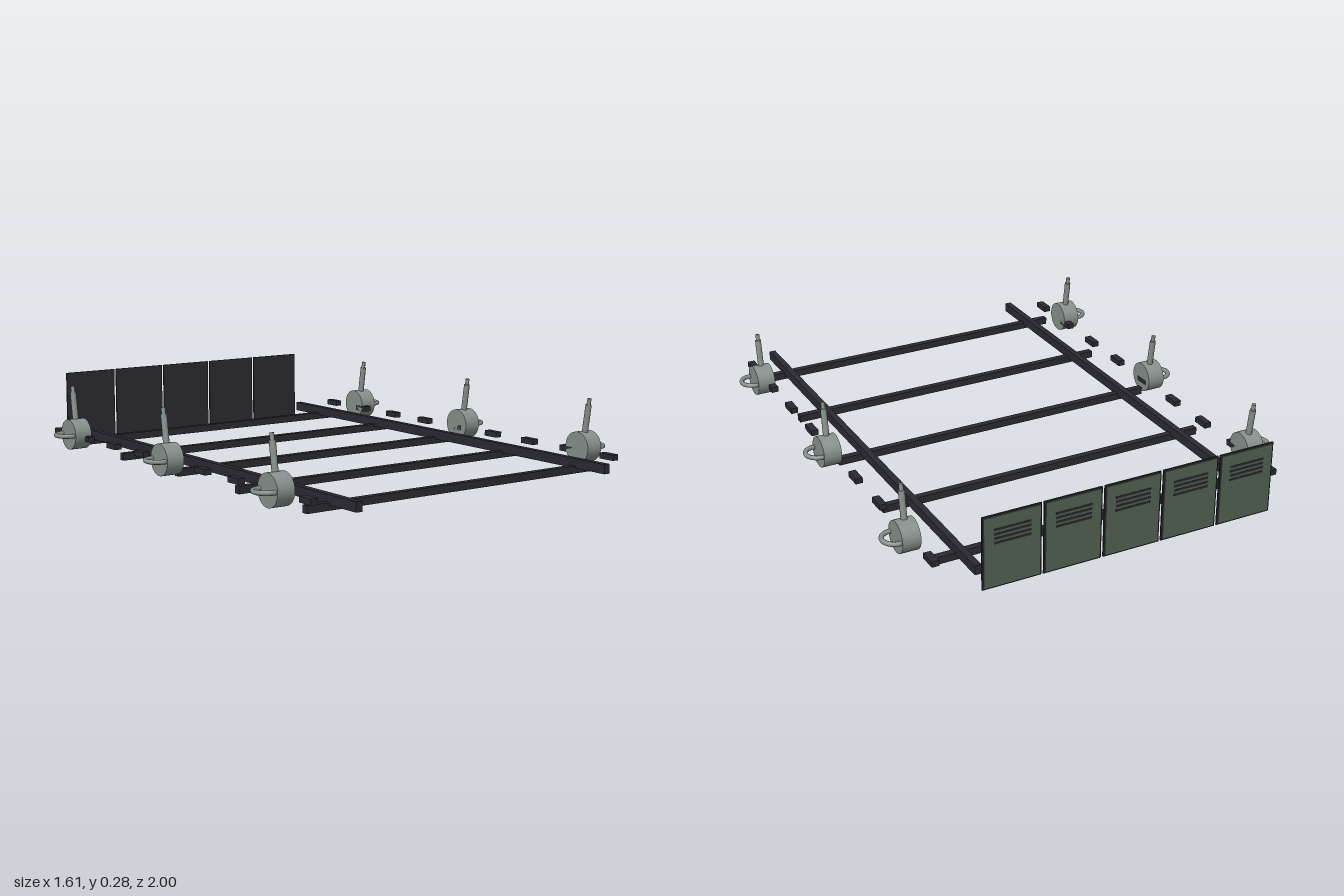
import * as THREE from 'three';

export function createModel() {
  const model = new THREE.Group();
  const darkSteel = new THREE.MeshStandardMaterial({ color: 0x2b2a31 });
  darkSteel.name = 'dark steel';
  const greySteel = new THREE.MeshStandardMaterial({ color: 0x87918c });
  greySteel.name = 'grey steel';
  const greenPaint = new THREE.MeshStandardMaterial({ color: 0x526052 });
  greenPaint.name = 'green paint';

  const add = (parent, name, geometry, material, x = 0, y = 0, z = 0) => {
    const mesh = new THREE.Mesh(geometry, material);
    mesh.name = name;
    mesh.position.set(x, y, z);
    parent.add(mesh);
    return mesh;
  };

  // Long rails resting on the cross bars
  for (const side of [-1, 1]) {
    add(model, 'sideRail', new THREE.BoxGeometry(0.025, 0.036, 1.94), darkSteel, side * 0.567, 0.048, 0.03);
  }
  const barGeometry = new THREE.BoxGeometry(1.34, 0.028, 0.026);
  for (let i = 0; i < 5; i++) {
    add(model, 'crossBar', barGeometry, darkSteel, 0, 0.025, -0.781 + i * 0.405);
  }

  // Small blocks along both sides
  const blockGeometry = new THREE.BoxGeometry(0.028, 0.022, 0.068);
  for (const side of [-1, 1]) {
    for (let i = 0; i < 9; i++) {
      add(model, 'sideBlock', blockGeometry, darkSteel, side * 0.69, 0.066, -0.833 + i * 0.2152);
    }
  }

  // Winch: drum on its side, horizontal bow and a tilted lever
  const drumGeometry = new THREE.CylinderGeometry(0.06, 0.06, 0.07, 32).rotateZ(Math.PI / 2);
  const bowPoints = [new THREE.Vector3(0.735, 0, -0.046)];
  for (let i = 0; i <= 12; i++) {
    const a = -Math.PI / 2 + (i / 12) * Math.PI;
    bowPoints.push(new THREE.Vector3(0.75 + 0.046 * Math.cos(a), 0, 0.046 * Math.sin(a)));
  }
  bowPoints.push(new THREE.Vector3(0.735, 0, 0.046));
  const bowGeometry = new THREE.TubeGeometry(new THREE.CatmullRomCurve3(bowPoints), 32, 0.009, 8);
  const gripGeometry = new THREE.CylinderGeometry(0.012, 0.012, 0.13, 12);
  const tipGeometry = new THREE.CylinderGeometry(0.008, 0.008, 0.028, 12);

  function makeWinch() {
    const winch = new THREE.Group();
    winch.name = 'winch';
    add(winch, 'drum', drumGeometry, greySteel, 0.711);
    add(winch, 'bow', bowGeometry, greySteel);
    const lever = new THREE.Group();
    lever.name = 'lever';
    lever.position.x = 0.709;
    lever.rotation.x = 0.15;
    add(lever, 'grip', gripGeometry, greySteel, 0, 0.1, 0);
    add(lever, 'tip', tipGeometry, greySteel, 0, 0.176, 0);
    winch.add(lever);
    return winch;
  }
  for (const z of [-0.667, 0.033, 0.733]) {
    for (const turn of [0, Math.PI]) {
      const winch = makeWinch();
      winch.position.set(0, 0.08, z);
      winch.rotation.y = turn;
      model.add(winch);
    }
  }

  // Row of rear panels, dark inside and green outside, with vent slots
  const panelGeometry = new THREE.BoxGeometry(0.225, 0.28, 0.006);
  const skinGeometry = new THREE.BoxGeometry(0.215, 0.27, 0.004);
  const slotGeometry = new THREE.BoxGeometry(0.14, 0.008, 0.002);
  for (let i = 0; i < 5; i++) {
    const panel = new THREE.Group();
    panel.name = 'rearPanel';
    panel.position.set((i - 2) * 0.234, 0.14, 0);
    add(panel, 'panelPlate', panelGeometry, darkSteel, 0, 0, -0.992);
    add(panel, 'panelSkin', skinGeometry, greenPaint, 0, 0, -0.997);
    for (let row = 0; row < 4; row++) {
      add(panel, 'ventSlot', slotGeometry, darkSteel, 0, 0.085 - row * 0.017, -0.999);
    }
    // Vents stand just proud of the skin
    panel.children.slice(2).forEach((slot) => { slot.position.z = -0.9993; });
    model.add(panel);
  }
  return model;
}
